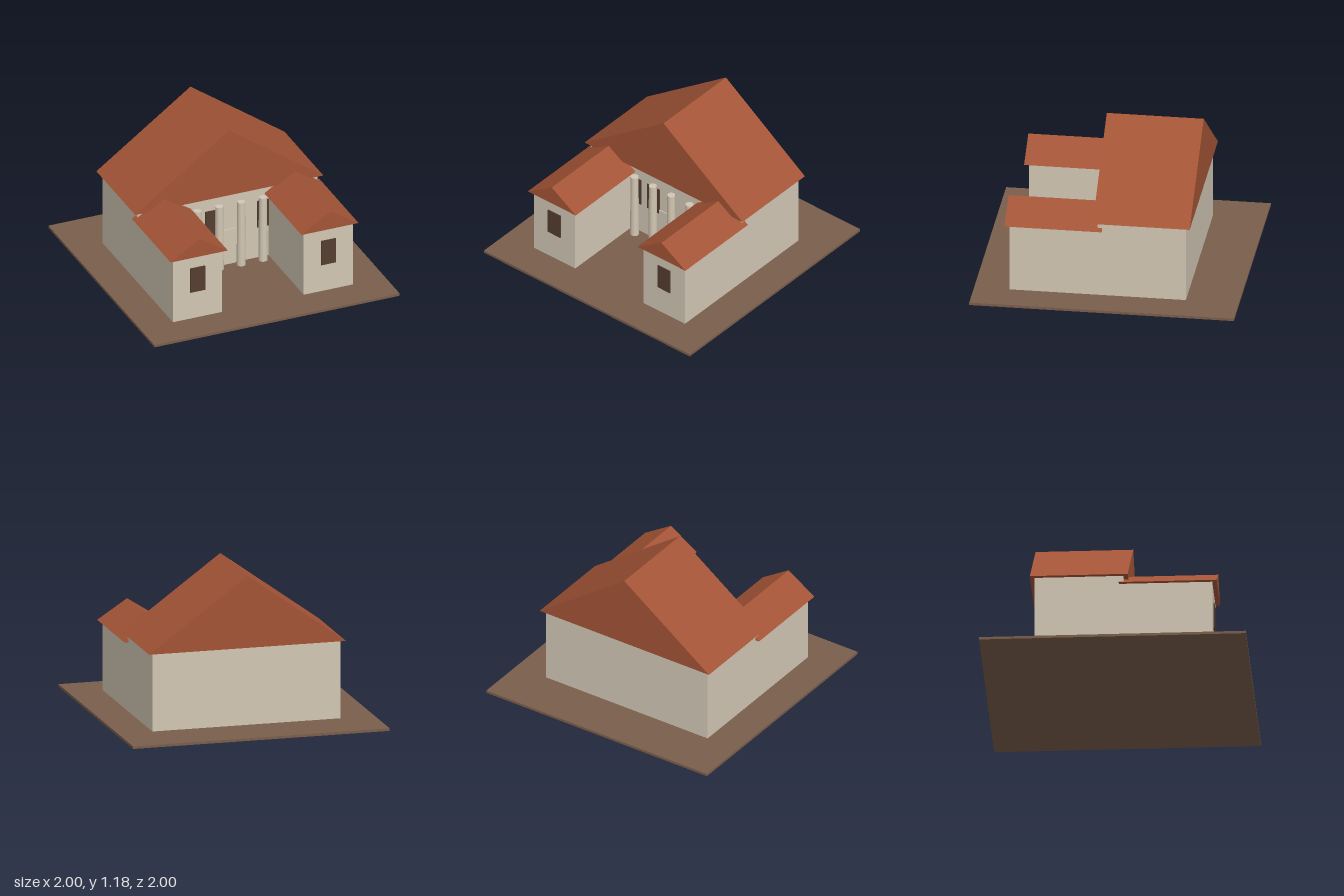
import * as THREE from 'three';

const mat = (name, color) => {
  const m = new THREE.MeshStandardMaterial({ color });
  m.name = name;
  return m;
};

export function createModel() {
  const earth = mat('earth', 0x7a5e4b);
  const plaster = mat('plaster', 0xd2c7b4);
  const tile = mat('roof tile', 0xa35436);
  const wood = mat('dark wood', 0x543d2f);

  const model = new THREE.Group();
  model.name = 'courtyardHouse';

  const add = (name, geometry, material) => {
    const mesh = new THREE.Mesh(geometry, material);
    mesh.name = name;
    model.add(mesh);
    return mesh;
  };

  // Box given by its limits on each axis
  const box = (name, material, [x0, x1], [y0, y1], [z0, z1]) =>
    add(name, new THREE.BoxGeometry(x1 - x0, y1 - y0, z1 - z0), material)
      .position.set((x0 + x1) / 2, (y0 + y1) / 2, (z0 + z1) / 2);

  // Closed gable prism with its ridge along z
  const gable = (name, x, halfWidth, y0, y1, z0, z1) => {
    const shape = new THREE.Shape([
      new THREE.Vector2(-halfWidth, y0),
      new THREE.Vector2(halfWidth, y0),
      new THREE.Vector2(0, y1),
    ]);
    const geometry = new THREE.ExtrudeGeometry(shape, { depth: z1 - z0, bevelEnabled: false });
    add(name, geometry, tile).position.set(x, 0, z0);
  };

  box('ground', earth, [-1, 1], [0, 0.02], [-1, 1]);

  // Main hall
  box('mainWalls', plaster, [-0.733, 0.733], [0.02, 0.622], [-0.6, 0.067]);
  gable('mainRoof', 0, 0.767, 0.622, 1.178, -0.633, 0.1);

  // Two front wings with a window each
  for (const [side, s] of [['left', 1], ['right', -1]]) {
    const x = s * 0.533;
    box(side + 'WingWalls', plaster, [x - 0.2, x + 0.2], [0.02, 0.556], [0.06, 0.733]);
    gable(side + 'WingRoof', x, 0.233, 0.556, 0.706, 0.033, 0.767);
    box(side + 'WingWindow', wood, [x - 0.06, x + 0.06], [0.245, 0.45], [0.733, 0.742]);
  }

  // Porch columns
  for (const x of [-0.267, -0.089, 0.089, 0.267]) {
    add('column', new THREE.CylinderGeometry(0.03, 0.034, 0.536, 16), plaster)
      .position.set(x, 0.288, 0.117);
  }

  // Porch wall windows and plain door
  for (const x of [-0.3, -0.122, 0.3]) {
    box('porchWindow', wood, [x - 0.06, x + 0.06], [0.28, 0.503], [0.067, 0.076]);
  }
  box('door', plaster, [-0.062, 0.062], [0.02, 0.315], [0.067, 0.076]);

  return model;
}
